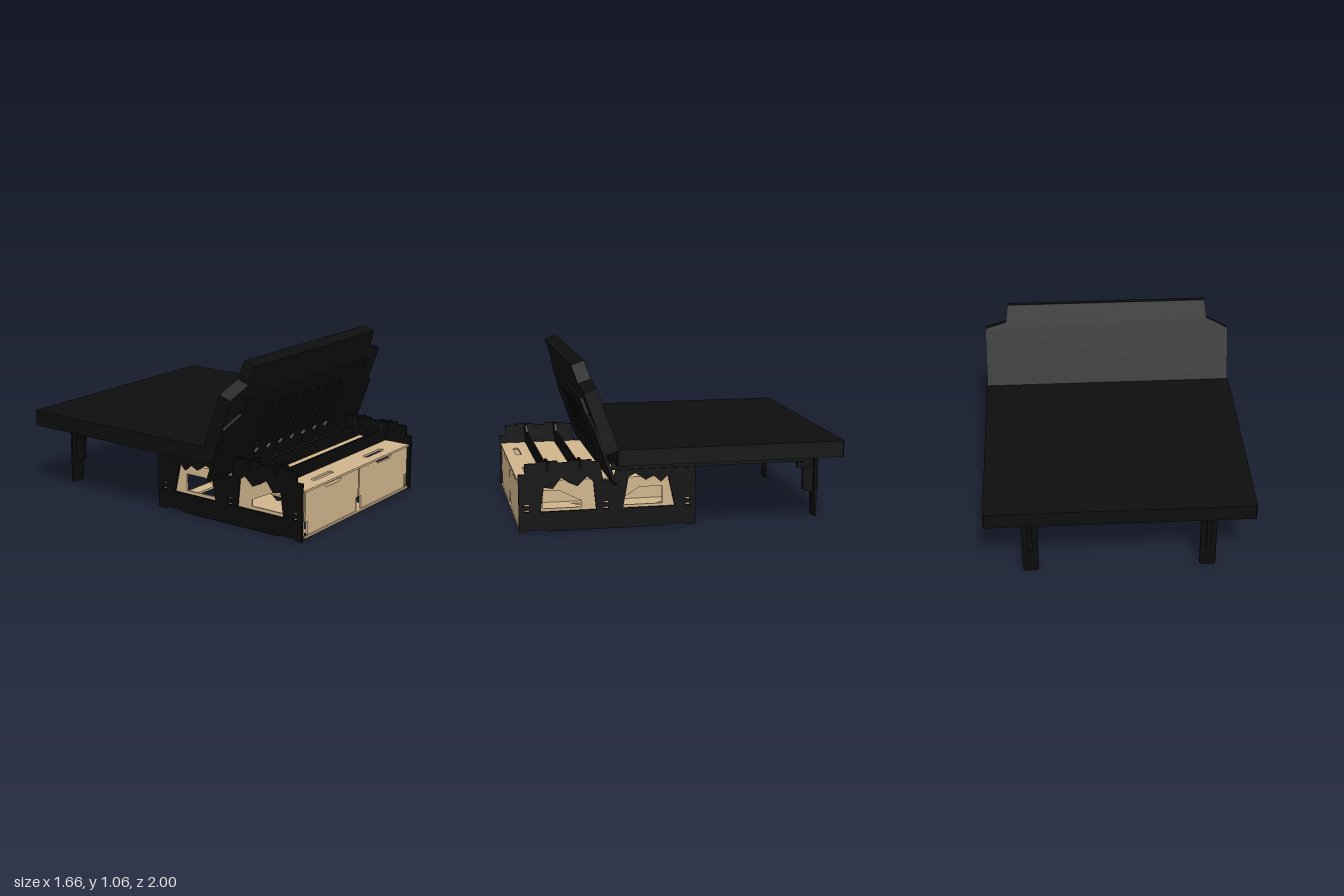
import * as THREE from 'three';

export function createModel() {
  const model = new THREE.Group();
  model.name = 'campingBedBox';
  const mat = (name, color) => {
    const m = new THREE.MeshStandardMaterial({ color });
    m.name = name;
    return m;
  };
  const fabric = mat('blackFabric', 0x0e0e0e);
  const black = mat('blackBoard', 0x0b0b0b);
  const wood = mat('birchPlywood', 0xd0b58c);

  // Flat board cut from an outline; normal 'z' uses (x,y), 'x' uses (z,y), 'y' uses (x,z)
  function board(name, normal, at, thick, pts, material, holes = [], parent = model) {
    const shape = new THREE.Shape(pts.map(p => new THREE.Vector2(...p)));
    holes.forEach(h => shape.holes.push(new THREE.Path(h.map(p => new THREE.Vector2(...p)))));
    const g = new THREE.ExtrudeGeometry(shape, { depth: thick, bevelEnabled: false });
    g.translate(0, 0, -thick / 2);
    if (normal === 'x') g.rotateY(-Math.PI / 2);
    if (normal === 'y') g.rotateX(Math.PI / 2);
    const mesh = new THREE.Mesh(g, material);
    mesh.name = name;
    mesh.position[normal] = at;
    parent.add(mesh);
    return mesh;
  }
  const rect = (a, b, c, d) => [[a, b], [c, b], [c, d], [a, d]];
  // Rectangle with cut corners
  const soft = (a, b, c, d, r) => [[a + r, b], [c - r, b], [c, b + r], [c, d - r],
    [c - r, d], [a + r, d], [a, d - r], [a, b + r]];
  const flip = (pts, s) => pts.map(([x, y]) => [s * x, y]);

  // Mattress
  board('mattress', 'y', 0.482, 0.1, soft(-0.83, -1, 0.83, 0.425, 0.008), fabric);

  // Slatted bed base with slots
  const baseSlots = [];
  for (let i = 0; i < 4; i++) {
    for (let j = 0; j < 6; j++) {
      const x = -0.51 + i * 0.27, z = -0.68 + j * 0.17;
      baseSlots.push(soft(x, z, x + 0.2, z + 0.05, 0.02));
    }
  }
  board('bedBase', 'y', 0.422, 0.018, rect(-0.64, -0.8, 0.64, 0.42), black, baseSlots);

  // Rear beam with long slots
  board('rearBeam', 'z', -0.79, 0.015, soft(-0.64, 0.365, 0.64, 0.43, 0.01), black,
    [-0.42, -0.06, 0.3].map(x => soft(x, 0.39, x + 0.12, 0.41, 0.008)));
  board('middleBeam', 'z', -0.12, 0.015, rect(-0.64, 0.37, 0.64, 0.42), black);

  // Reclined backrest
  const back = new THREE.Group();
  back.name = 'backrest';
  back.position.set(0, 0.53, 0.41);
  back.rotation.x = 0.339;
  model.add(back);
  board('backCushion', 'z', 0.042, 0.083, [[-0.825, 0], [0.825, 0], [0.825, 0.4], [0.685, 0.44],
    [0.67, 0.557], [-0.67, 0.557], [-0.68, 0.435], [-0.825, 0.36]], fabric, [], back);
  const slots = [soft(-0.75, -0.175, -0.71, -0.165, 0.004), soft(0.71, -0.175, 0.75, -0.165, 0.004)];
  for (let i = -3; i <= 3; i++) {
    slots.push(soft(i * 0.13 - 0.03, -0.1, i * 0.13 + 0.03, 0.26, 0.025));
  }
  board('backPanel', 'z', 0.093, 0.02, [[-0.81, -0.195], [0.81, -0.195], [0.822, -0.18], [0.822, 0.17],
    [0.68, 0.244], [0.67, 0.35], [-0.67, 0.35], [-0.68, 0.244], [-0.822, 0.17], [-0.822, -0.18]],
  black, slots, back);

  // Side frame outline and its two jagged windows, as (z, y)
  const frame = [[-0.1, 0.01], [-0.1, 0.37], [0.4, 0.37], [0.42, 0.31], [0.48, 0.31], [0.5, 0.43],
    [0.55, 0.43], [0.55, 0.442], [0.69, 0.442], [0.69, 0.43], [0.76, 0.43], [0.76, 0.442],
    [0.89, 0.442], [0.89, 0.43], [0.96, 0.43], [0.96, 0.365], [1, 0.365], [1, 0.003], [0.96, 0.003],
    [0.95, 0.015], [0.84, 0.015], [0.83, 0.005], [0.1, 0.005], [0.09, 0.015], [-0.03, 0.015],
    [-0.04, 0.003], [-0.09, 0.003]];
  const windows = [
    [[0.866, 0.128], [0.845, 0.28], [0.79, 0.27], [0.738, 0.337], [0.695, 0.305], [0.64, 0.28],
      [0.578, 0.337], [0.54, 0.305], [0.524, 0.128]],
    [[0.358, 0.128], [0.322, 0.325], [0.28, 0.345], [0.215, 0.3], [0.165, 0.325], [0.118, 0.283],
      [0.075, 0.325], [0.032, 0.128]],
    ...[0.935, 0.45, -0.065].flatMap(z => [0.13, 0.165].map(y => rect(z, y, z + 0.03, y + 0.012))),
  ];
  // Openings in the plywood sides, as (z, y)
  const sideHoles = [
    [[0.85, 0.14], [0.85, 0.25], [0.75, 0.25], [0.61, 0.18], [0.61, 0.14]],
    [[0.36, 0.14], [0.36, 0.18], [0.25, 0.25], [0.105, 0.25], [0.105, 0.14]],
  ];
  // Drawer front with notched lower corners, as (x, y)
  const front = [[0.03, 0.03], [0.57, 0.03], [0.57, 0.115], [0.597, 0.115], [0.597, 0.3], [0.006, 0.3],
    [0.006, 0.115], [0.03, 0.115]];
  const handle = [[0.225, 0.278], [0.375, 0.278], [0.395, 0.296], [0.205, 0.296]];

  for (const s of [1, -1]) {
    board('sideFrame', 'x', s * 0.637, 0.015, frame, black, windows);
    board('bedRail', 'x', s * 0.637, 0.015, rect(-0.8, 0.372, 0.43, 0.43), black);
    board('boxSide', 'x', s * 0.604, 0.012, rect(-0.1, 0.02, 0.985, 0.31), wood, sideHoles);
    board('drawerFront', 'z', 0.985, 0.014, flip(front, s), wood, [flip(handle, s)]);
    board('frontFoot', 'z', 0.975, 0.03, flip([[0.51, 0.005], [0.62, 0.005], [0.62, 0.03], [0.5, 0.03]], s), black);

    // Rear leg: cross-shaped pair of boards with a bracket
    board('rearLeg', 'z', -0.893, 0.015, soft(s * 0.555 - 0.05, 0, s * 0.555 + 0.05, 0.432, 0.012), black);
    board('legStiffener', 'x', s * 0.555, 0.03, soft(-0.92, 0.16, -0.82, 0.432, 0.014), black);
    board('legBracket', 'x', s * 0.6, 0.015, [[-0.85, 0.325], [-0.765, 0.325], [-0.765, 0.385],
      [-0.8, 0.432], [-0.85, 0.432]], black);
  }

  // Storage box boards
  board('boxTop', 'y', 0.308, 0.013, rect(-0.61, -0.1, 0.61, 0.998), wood,
    [-0.3, 0.3].map(x => soft(x - 0.11, 0.895, x + 0.11, 0.932, 0.012)));
  board('boxDivider', 'x', 0, 0.009, rect(-0.1, 0.02, 0.975, 0.302), wood);
  board('boxBack', 'z', -0.05, 0.012, rect(0.03, 0.12, 0.598, 0.302), wood);
  const floorHoles = [1, -1].flatMap(s => [
    [[0.12, 0.92], [0.54, 0.92], [0.44, 0.68], [0.25, 0.68]],
    [[0.12, -0.02], [0.54, -0.02], [0.44, 0.24], [0.25, 0.24]],
    [[0.56, 0.62], [0.56, 0.34], [0.46, 0.48]],
    [[0.06, 0.6], [0.06, 0.36], [0.16, 0.48]],
  ].map(h => flip(h, s)));
  board('boxFloor', 'y', 0.021, 0.014, rect(-0.61, -0.1, 0.61, 0.998), wood, floorHoles);

  // Cross bars slotted over the side frames
  for (const z of [0.822, 0.62, 0.36]) {
    const top = z > 0.5 ? 0.442 : 0.42;
    board('crossBar', 'z', z, 0.016, [[-0.67, 0.39], [-0.6, 0.39], [-0.58, 0.32], [0.58, 0.32],
      [0.6, 0.39], [0.67, 0.39], [0.67, top], [0.56, top], [0.52, top - 0.04], [-0.52, top - 0.04],
      [-0.56, top], [-0.67, top]], black);
  }
  return model;
}
